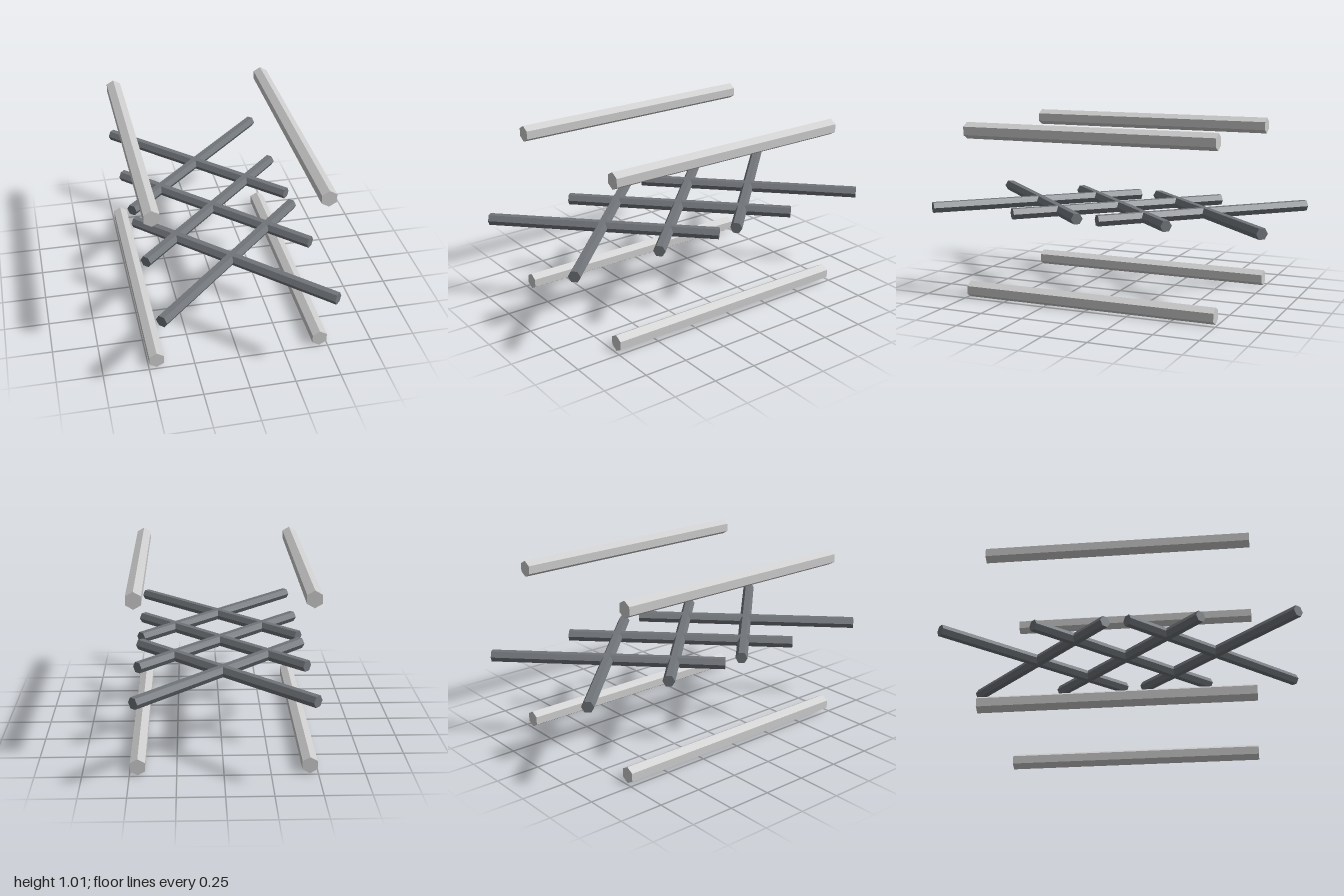
import * as THREE from 'three';

const chordMaterial = new THREE.MeshStandardMaterial({ color: 0xcccccc, flatShading: true });
const braceMaterial = new THREE.MeshStandardMaterial({ color: 0x70757a, flatShading: true });

// Hexagonal bar lying along z; roll turns it about its own axis
function hexBar(radius, length, roll) {
  return new THREE.CylinderGeometry(radius, radius, length, 6).rotateY(roll).rotateX(Math.PI / 2);
}

export function createModel() {
  const model = new THREE.Group();
  model.name = 'trussFrame';

  // Four long chords at the corners, with an edge on top
  const chordGeometry = hexBar(0.0465, 1.475, 0);
  for (const [level, y] of [['lower', 0.0465], ['upper', 0.959]]) {
    for (const [side, x] of [['Left', 0.456], ['Right', -0.456]]) {
      const chord = new THREE.Mesh(chordGeometry, chordMaterial);
      chord.name = `${level}${side}Chord`;
      chord.position.set(x, y, 0);
      model.add(chord);
    }
  }

  // Three crossed pairs of diagonal braces at mid height, with a flat on top
  const braceGeometry = hexBar(0.0335, 1.296, Math.PI / 6);
  for (const [place, z] of [['front', 0.518], ['middle', 0], ['back', -0.518]]) {
    const pair = new THREE.Group();
    pair.name = `${place}CrossBrace`;
    pair.position.set(0, 0.503, z);
    for (const sign of [1, -1]) {
      const brace = new THREE.Mesh(braceGeometry, braceMaterial);
      brace.name = sign > 0 ? 'braceToFrontLeft' : 'braceToFrontRight';
      brace.rotation.y = sign * Math.PI / 4;
      pair.add(brace);
    }
    model.add(pair);
  }

  return model;
}
